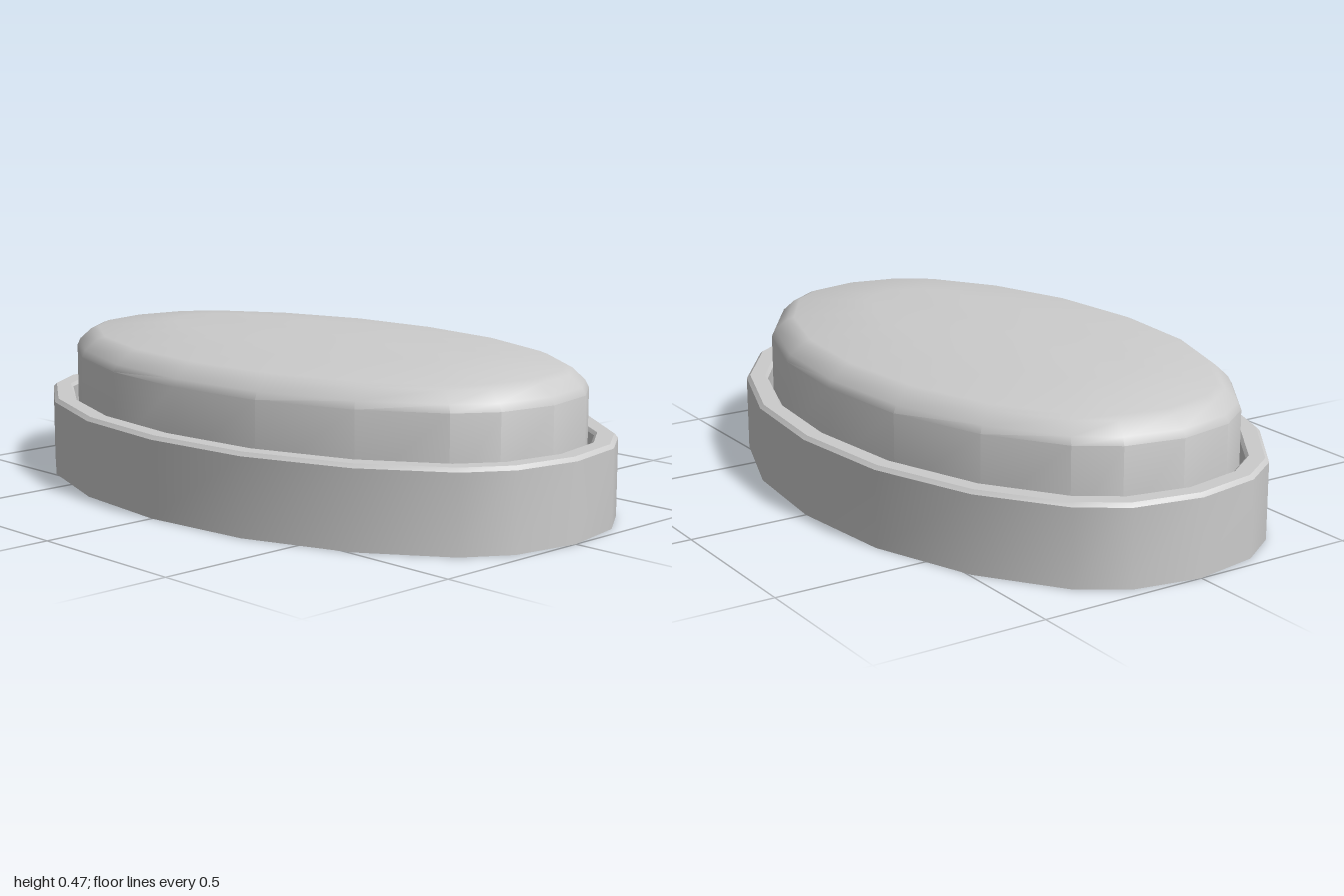
import * as THREE from 'three';
import { toCreasedNormals } from 'three/addons/utils/BufferGeometryUtils.js';

const HALF_X = 1, HALF_Z = 0.64;

// One quarter of the twenty-sided oval, mirrored into a full loop
const quarter = [[1, 0], [0.963, 0.2], [0.877, 0.329], [0.647, 0.493], [0.337, 0.605], [0, HALF_Z]];
const back = quarter.slice(1, 5).reverse();
const half = [...quarter, ...back.map(([x, z]) => [-x, z])];
const outline = [...half, ...half.map(([x, z]) => [-x, -z])];

// Sweep a profile of [inset from the outer edge, height] round the oval;
// an inset of null is a point on the centre axis
function ovalSolid(name, profile) {
  const position = [], index = [], n = outline.length;
  for (const [inset, y] of profile) {
    const sx = inset === null ? 0 : (HALF_X - inset) / HALF_X;
    const sz = inset === null ? 0 : (HALF_Z - inset) / HALF_Z;
    for (const [x, z] of outline) position.push(x * sx, y, z * sz);
  }
  for (let r = 0; r < profile.length - 1; r++) {
    for (let j = 0; j < n; j++) {
      const k = (j + 1) % n;
      const a = r * n + j, b = r * n + k, c = a + n, d = b + n;
      if (profile[r][0] !== null) index.push(a, c, b);
      if (profile[r + 1][0] !== null) index.push(b, c, d);
    }
  }
  const geometry = new THREE.BufferGeometry();
  geometry.setAttribute('position', new THREE.Float32BufferAttribute(position, 3));
  geometry.setIndex(index);
  const mesh = new THREE.Mesh(
    toCreasedNormals(geometry, Math.PI / 6),
    new THREE.MeshStandardMaterial({ color: 0xcccccc })
  );
  mesh.name = name;
  return mesh;
}

export function createModel() {
  const group = new THREE.Group();
  group.name = 'ovalButton';

  // Housing: flat underside, bevelled rim and a narrow groove round the button
  group.add(ovalSolid('housing', [
    [null, 0], [0, 0], [0, 0.226], [0.011, 0.237], [0.058, 0.237],
    [0.067, 0.228], [0.067, 0.14], [null, 0.14],
  ]));

  // Button: straight wall, rounded shoulder and shallow domed top
  group.add(ovalSolid('button', [
    [0.084, 0.14], [0.084, 0.365], [0.095, 0.386], [0.132, 0.419],
    [0.155, 0.428], [0.41, 0.453], [null, 0.465],
  ]));

  return group;
}
